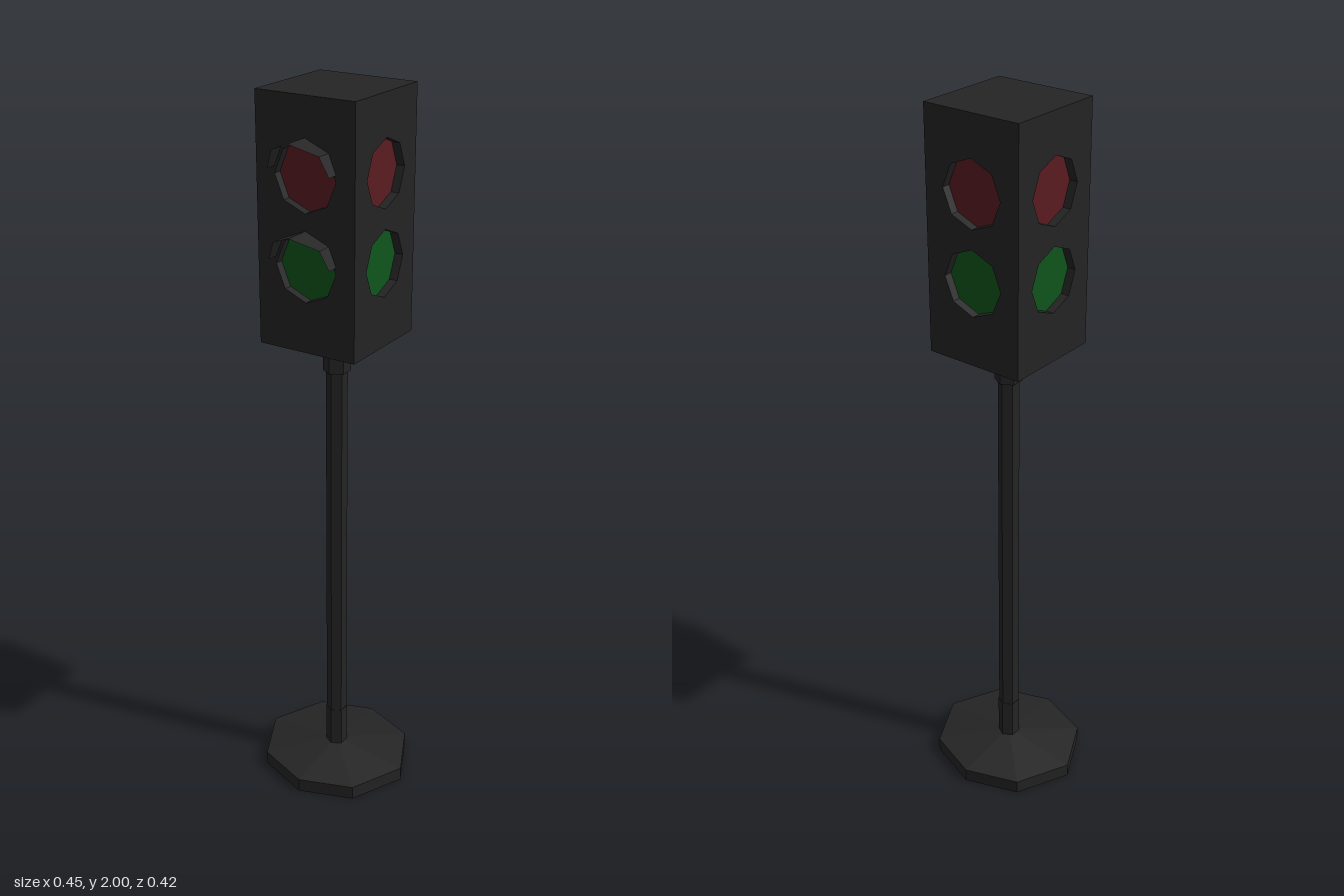
import * as THREE from 'three';

const paint = (color, side = THREE.FrontSide) =>
  new THREE.MeshStandardMaterial({ color, flatShading: true, side });

const HALF = 0.142, BOTTOM = 1.355, TOP = 2, RECESS = 0.025, LENS_R = 0.088;
const HEIGHT = TOP - BOTTOM, MID = (TOP + BOTTOM) / 2;

function octagon(Type, r, cy) {
  const points = [];
  for (let i = 0; i < 8; i++) {
    const a = (i * Math.PI) / 4;
    points.push(new THREE.Vector2(r * Math.cos(a), cy + r * Math.sin(a)));
  }
  const path = new Type();
  path.setFromPoints(points);
  path.closePath();
  return path;
}

// Half-octagon hood reaching furthest out at its crown
function visorGeometry() {
  const profile = [
    [0.0886, 0.018, 0.031], [0.068, 0.068, 0.042], [0, 0.096, 0.073],
    [-0.068, 0.068, 0.042], [-0.0886, 0.018, 0.031],
  ];
  const positions = [], index = [];
  profile.forEach(([x, y, reach], i) => {
    positions.push(x, y, 0, x, y, reach);
    if (i > 0) {
      const a = 2 * (i - 1);
      index.push(a, a + 1, a + 3, a, a + 3, a + 2);
    }
  });
  const geometry = new THREE.BufferGeometry();
  geometry.setAttribute('position', new THREE.Float32BufferAttribute(positions, 3));
  geometry.setIndex(index);
  geometry.computeVertexNormals();
  return geometry;
}

export function createModel() {
  const model = new THREE.Group();
  model.name = 'trafficLight';
  const body = paint(0x242424);
  const hood = paint(0x242424, THREE.DoubleSide);
  const lenses = [
    { name: 'redLens', y: 1.804, material: paint(0x5a1c20) },
    { name: 'greenLens', y: 1.577, material: paint(0x10551c) },
  ];

  const add = (parent, name, geometry, material, x = 0, y = 0, z = 0) => {
    const mesh = new THREE.Mesh(geometry, material);
    mesh.name = name;
    mesh.position.set(x, y, z);
    parent.add(mesh);
    return mesh;
  };

  // Eight-sided foot, a little wider than deep, with a shallow sloping top
  const footProfile = [[0, 0], [0.2135, 0], [0.2135, 0.04], [0.03, 0.06], [0, 0.06]]
    .map(([r, y]) => new THREE.Vector2(r, y));
  const foot = new THREE.LatheGeometry(footProfile, 8);
  const p = foot.attributes.position;
  for (let i = 0; i < p.count; i++) {
    if (Math.abs(p.getZ(i)) < 0.001) p.setX(i, p.getX(i) * 1.05);
    if (Math.abs(p.getX(i)) < 0.001) p.setZ(i, p.getZ(i) * 0.96);
  }
  foot.computeVertexNormals();
  add(model, 'base', foot, body);

  // Six-sided pole and its sleeves: name, radius, from, to
  for (const [name, r, y0, y1] of [
    ['pole', 0.029, 0.05, 1.3],
    ['lowerSleeve', 0.031, 0.05, 0.18],
    ['collar', 0.037, 1.26, 1.335],
    ['collarCap', 0.04, 1.33, 1.36],
  ]) add(model, name, new THREE.CylinderGeometry(r, r, y1 - y0, 6), body, 0, (y0 + y1) / 2);

  // Housing: a core whose sides form the floors of the lamp recesses
  const inner = HALF - RECESS;
  add(model, 'housingCore', new THREE.BoxGeometry(inner * 2, HEIGHT, inner * 2), body, 0, MID);

  // Four pierced panels, each with a red and a green lamp
  const visor = visorGeometry();
  ['front', 'left', 'back', 'right'].forEach((sideName, i) => {
    const side = new THREE.Group();
    side.name = sideName + 'Face';
    side.rotation.y = (i * Math.PI) / 2;
    model.add(side);

    const w = i % 2 ? inner : HALF;
    const shape = new THREE.Shape();
    shape.moveTo(-w, BOTTOM).lineTo(w, BOTTOM).lineTo(w, TOP).lineTo(-w, TOP).closePath();
    for (const lens of lenses) shape.holes.push(octagon(THREE.Path, LENS_R, lens.y));
    const panel = new THREE.ExtrudeGeometry(shape, { depth: RECESS, bevelEnabled: false });
    add(side, 'panel', panel, body, 0, 0, inner);

    for (const lens of lenses) {
      add(side, lens.name, new THREE.CircleGeometry(LENS_R, 8), lens.material, 0, lens.y, inner + 0.002);
      // Only the front lamps carry hoods
      if (i === 0) add(side, 'visor', visor, hood, 0, lens.y, HALF);
    }
  });

  model.position.z = -0.005;
  const root = new THREE.Group();
  root.add(model);
  return root;
}
